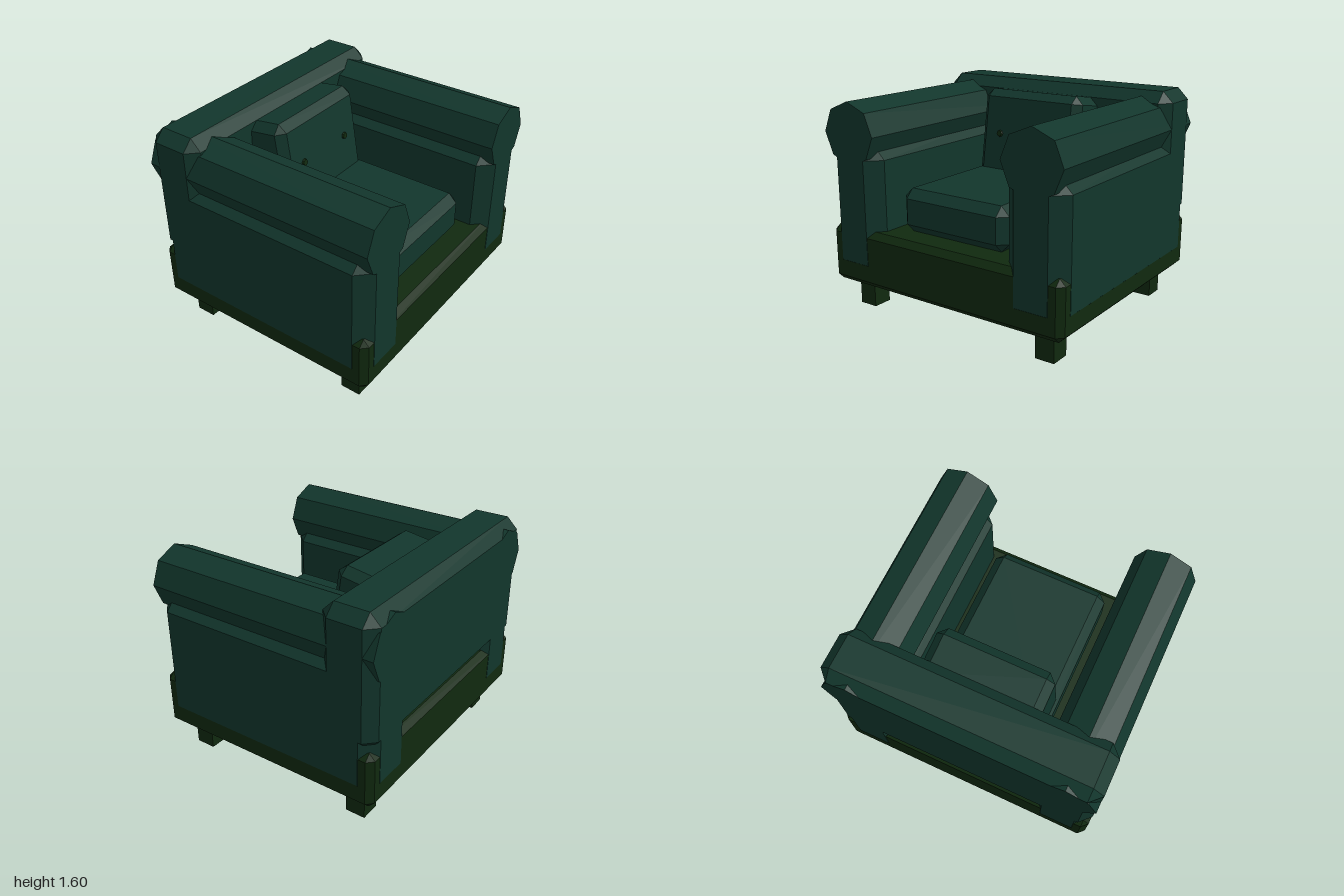
import * as THREE from 'three';
import { ConvexGeometry } from 'three/addons/geometries/ConvexGeometry.js';

// Box with every edge bevelled by c
function bevelBox(x0, x1, y0, y1, z0, z1, c) {
  const pts = [];
  const half = [(x1 - x0) / 2, (y1 - y0) / 2, (z1 - z0) / 2];
  for (const sx of [-1, 1]) for (const sy of [-1, 1]) for (const sz of [-1, 1]) {
    for (let flat = 0; flat < 3; flat++) {
      const p = half.map((h, i) => (i === flat ? h : h - c));
      pts.push(new THREE.Vector3(sx * p[0], sy * p[1], sz * p[2]));
    }
  }
  const geometry = new ConvexGeometry(pts);
  geometry.translate((x0 + x1) / 2, (y0 + y1) / 2, (z0 + z1) / 2);
  return geometry;
}

export function createModel() {
  const model = new THREE.Group();
  model.name = 'armchair';

  const fabric = new THREE.MeshStandardMaterial({ color: 0x12362c });
  fabric.name = 'dark teal fabric';
  const wood = new THREE.MeshStandardMaterial({ color: 0x10290f });
  wood.name = 'dark green frame';

  const add = (name, geometry, material, parent = model) => {
    const mesh = new THREE.Mesh(geometry, material);
    mesh.name = name;
    parent.add(mesh);
    return mesh;
  };

  // Base, set in a hair so the arm panels lie over it
  add('base', bevelBox(-0.998, 0.998, 0.21, 0.635, -0.893, 0.893, 0.045), wood);

  // Backrest
  add('backrest', bevelBox(-1, 1, 0.64, 1.6, -0.895, -0.48, 0.08), fabric);

  for (const [side, s] of [['left', 1], ['right', -1]]) {
    // Arm panel and its eight-sided roll
    const inner = s * 0.535, outer = s;
    add(side + 'ArmPanel', bevelBox(Math.min(inner, outer), Math.max(inner, outer),
      0.275, 1.26, -0.895, 0.895, 0.105), fabric);
    const roll = new THREE.CylinderGeometry(0.23, 0.23, 1.79, 8).toNonIndexed();
    roll.computeVertexNormals();
    roll.rotateX(Math.PI / 2);
    add(side + 'ArmRoll', roll, fabric).position.set(s * 0.77, 1.33, 0);

    // Legs
    for (const [end, z] of [['Front', 0.685], ['Back', -0.685]]) {
      add(side + end + 'Leg', new THREE.BoxGeometry(0.145, 0.23, 0.15), wood)
        .position.set(s * 0.792, 0.115, z);
    }
  }

  // Seat cushion
  add('seatCushion', bevelBox(-0.452, 0.452, 0.636, 0.955, -0.52, 0.735, 0.065), fabric);

  // Back cushion leaning backwards, with two buttons
  const lean = new THREE.Group();
  lean.name = 'backCushion';
  lean.position.set(0, 1.225, -0.17);
  lean.rotation.x = -0.15;
  model.add(lean);
  add('cushion', bevelBox(-0.43, 0.43, -0.5, 0.338, -0.4, 0, 0.06), fabric, lean);
  for (const s of [-1, 1]) {
    const button = new THREE.CylinderGeometry(0.022, 0.029, 0.02, 8).toNonIndexed();
    button.computeVertexNormals();
    button.rotateX(Math.PI / 2);
    add('button', button, wood, lean).position.set(s * 0.238, 0, 0.004);
  }

  return model;
}
